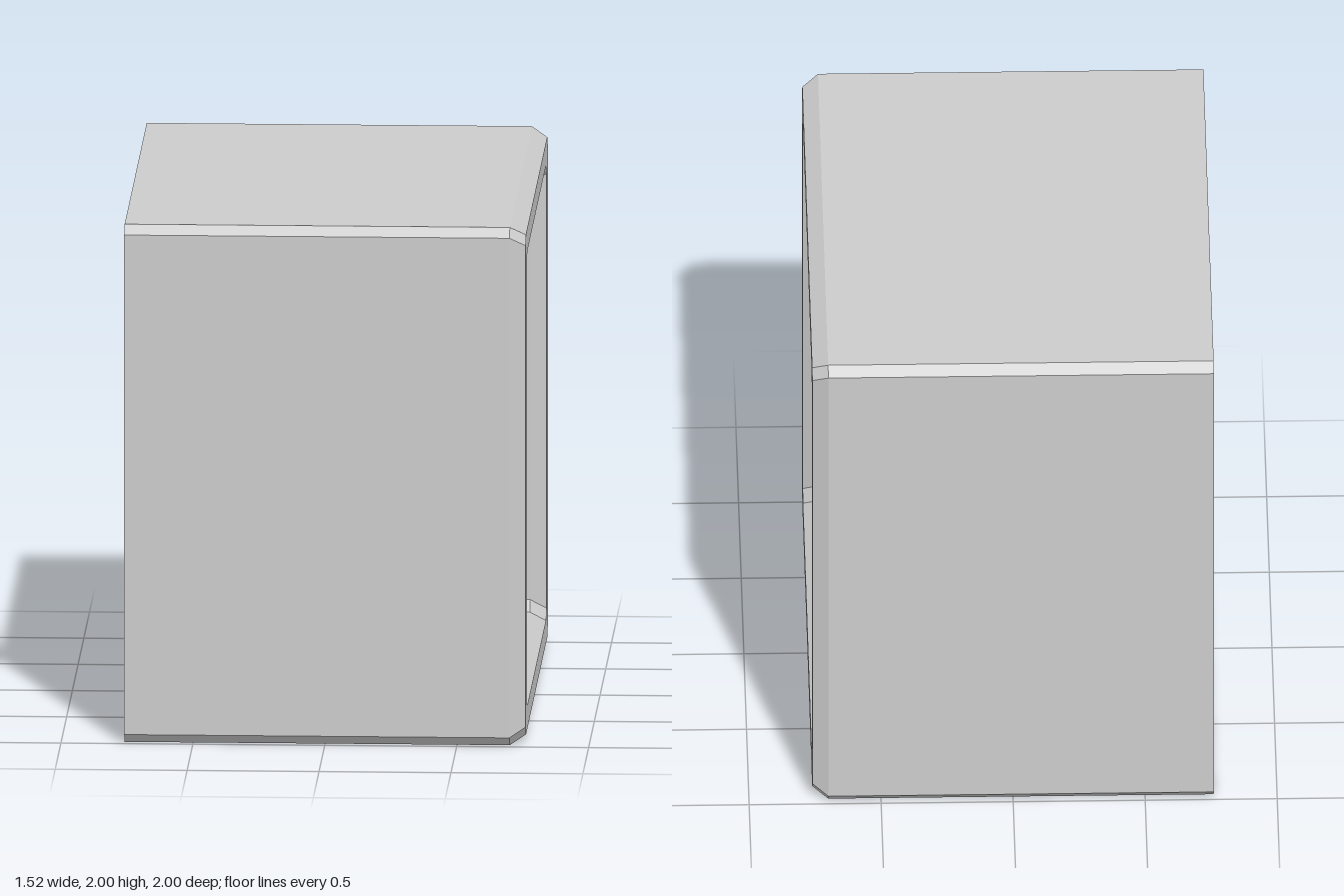
import * as THREE from 'three';

const grey = new THREE.MeshStandardMaterial({ color: 0xcccccc, flatShading: true });
const greyBoth = new THREE.MeshStandardMaterial({ color: 0xcccccc, flatShading: true, side: THREE.DoubleSide });
const CAVITY_X = -0.33; // back of the cavity

// Rectangle with cut corners, as [z, y]
function cutRect(halfZ, halfY, cut) {
  return [
    [-halfZ, halfY - cut], [-halfZ + cut, halfY], [halfZ - cut, halfY], [halfZ, halfY - cut],
    [halfZ, -halfY + cut], [halfZ - cut, -halfY], [-halfZ + cut, -halfY], [-halfZ, -halfY + cut],
  ];
}

// Skin through rings [halfZ, halfY, cut, x] along the x axis
function loftRings(rings) {
  const loops = rings.map(([hz, hy, cut, x]) => cutRect(hz, hy, cut).map(([z, y]) => [x, y + 1, z]));
  const pos = [];
  for (let i = 0; i < loops.length - 1; i++) {
    for (let k = 0; k < 8; k++) {
      const n = (k + 1) % 8;
      const a = loops[i][k], b = loops[i][n], c = loops[i + 1][k], d = loops[i + 1][n];
      pos.push(...a, ...b, ...c, ...b, ...d, ...c);
    }
  }
  const g = new THREE.BufferGeometry();
  g.setAttribute('position', new THREE.Float32BufferAttribute(pos, 3));
  g.computeVertexNormals();
  return g;
}

export function createModel() {
  const group = new THREE.Group();
  const add = (name, geometry, material = grey) => {
    const mesh = new THREE.Mesh(geometry, material);
    mesh.name = name;
    group.add(mesh);
    return mesh;
  };

  // Thin housing open at the back, bevelled front frame, then the cavity walls
  add('housing', loftRings([
    [1, 1, 0.035, -0.76],
    [1, 1, 0.035, 0.70],
    [0.965, 0.965, 0.035, 0.76],
    [0.86, 0.88, 0.04, 0.76],
    [0.82, 0.84, 0.04, 0.70],
    [0.82, 0.84, 0.04, CAVITY_X],
  ]), greyBoth);

  // Back of the cavity, also seen through the open back
  const outline = new THREE.Shape(cutRect(0.82, 0.84, 0.04).map(([z, y]) => new THREE.Vector2(z, y)));
  const back = add('cavityBack', new THREE.ShapeGeometry(outline).rotateY(Math.PI / 2), greyBoth);
  back.position.set(CAVITY_X, 1, 0);

  // Twelve-sided drum behind the cavity, its front just proud of the cavity back
  const drumFront = CAVITY_X + 0.005;
  const drumLength = drumFront + 0.76;
  const drum = add('drum', new THREE.CylinderGeometry(0.46, 0.46, drumLength, 12).rotateZ(Math.PI / 2));
  drum.position.set(drumFront - drumLength / 2, 0.975, 0);

  // Post with a forward head, edges chamfered
  const profile = new THREE.Shape([
    [0, 0.16], [0.11, 0.16], [0.11, 0.865], [0.225, 0.865], [0.245, 0.885], [0.245, 1.05],
    [0.23, 1.065], [CAVITY_X + 0.02, 1.065], [CAVITY_X + 0.02, 0.865], [0, 0.865],
  ].map(([x, y]) => new THREE.Vector2(x, y)));
  const post = new THREE.ExtrudeGeometry(profile, {
    depth: 0.084, bevelEnabled: true, bevelSize: 0.02, bevelThickness: 0.02, bevelSegments: 1,
  });
  add('post', post.translate(0, 0, -0.042));

  // Upright bars across the opening
  for (const z of [-0.47, 0, 0.47]) {
    add('bar', new THREE.BoxGeometry(0.045, 1.7, 0.045)).position.set(0.637, 1, z);
  }

  return group;
}
